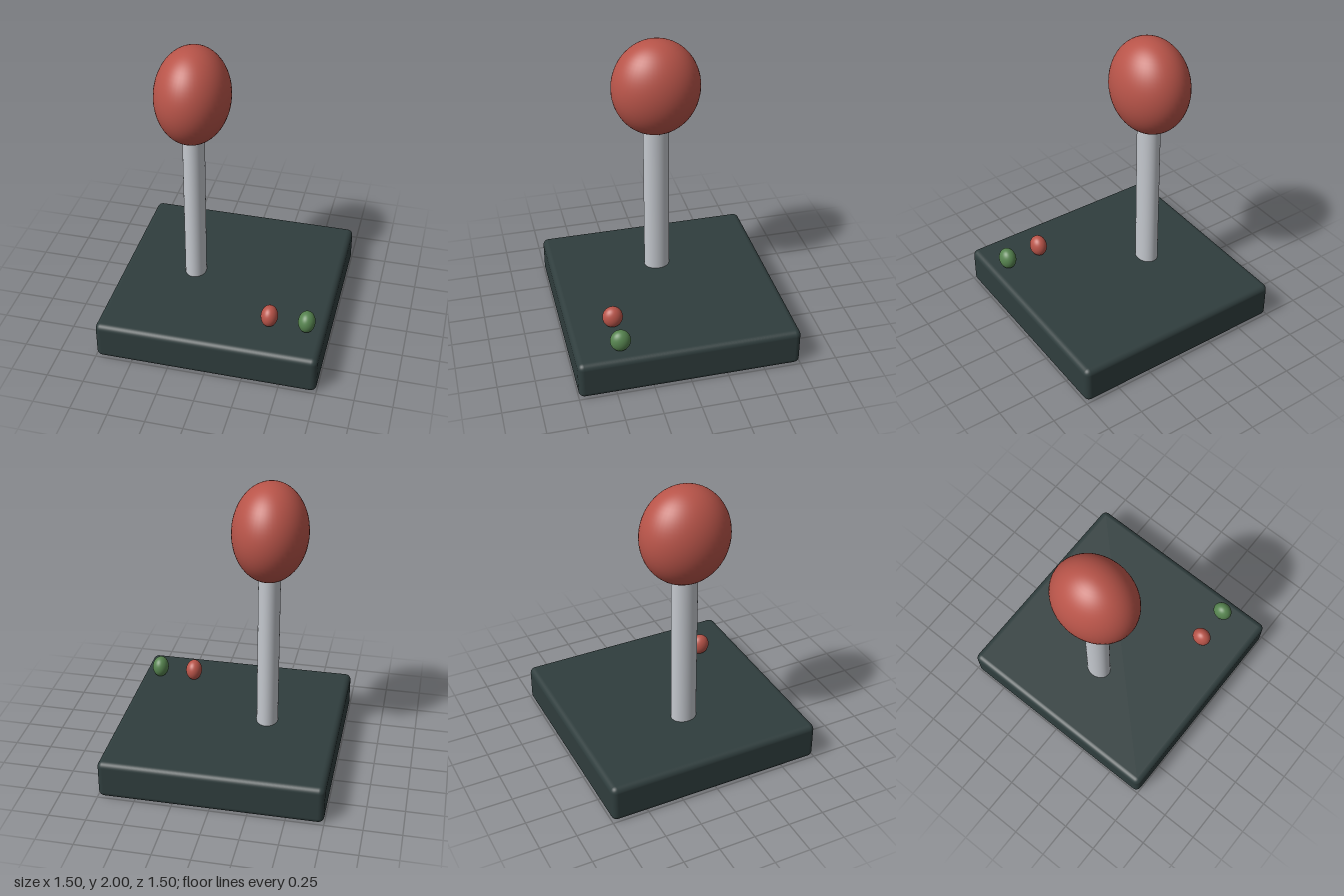
import * as THREE from 'three';
import { RoundedBoxGeometry } from 'three/addons/geometries/RoundedBoxGeometry.js';

export function createModel() {
  const model = new THREE.Group();
  model.name = 'joystick';

  const material = (name, color) => {
    const m = new THREE.MeshStandardMaterial({ color });
    m.name = name;
    return m;
  };
  const slate = material('dark slate', 0x2f3d3d);
  const steel = material('light grey', 0xc4c8ce);
  const red = material('red', 0xb85449);
  const green = material('green', 0x56834f);

  const add = (name, geometry, mat, x, y, z) => {
    const mesh = new THREE.Mesh(geometry, mat);
    mesh.name = name;
    mesh.position.set(x, y, z);
    model.add(mesh);
    return mesh;
  };

  // Ellipsoid with separate radii along each axis
  const ellipsoid = (rx, ry, rz) => new THREE.SphereGeometry(1, 48, 32).scale(rx, ry, rz);

  // Square base with softened edges
  add('base', new RoundedBoxGeometry(1.495, 0.265, 1.495, 4, 0.04), slate, 0, 0.1375, 0);

  // Oval shaft, sunk slightly into the base and the knob
  const shaft = new THREE.CylinderGeometry(1, 1, 1.13, 48).scale(0.073, 1, 0.088);
  add('shaft', shaft, steel, -0.25, 0.795, 0);

  // Knob on top of the shaft
  add('knob', ellipsoid(0.248, 0.33, 0.298), red, -0.25, 1.67, 0);

  // Two buttons in the front left corner
  add('redButton', ellipsoid(0.057, 0.075, 0.068), red, 0.372, 0.338, 0.447);
  add('greenButton', ellipsoid(0.057, 0.075, 0.068), green, 0.622, 0.338, 0.447);

  return model;
}
